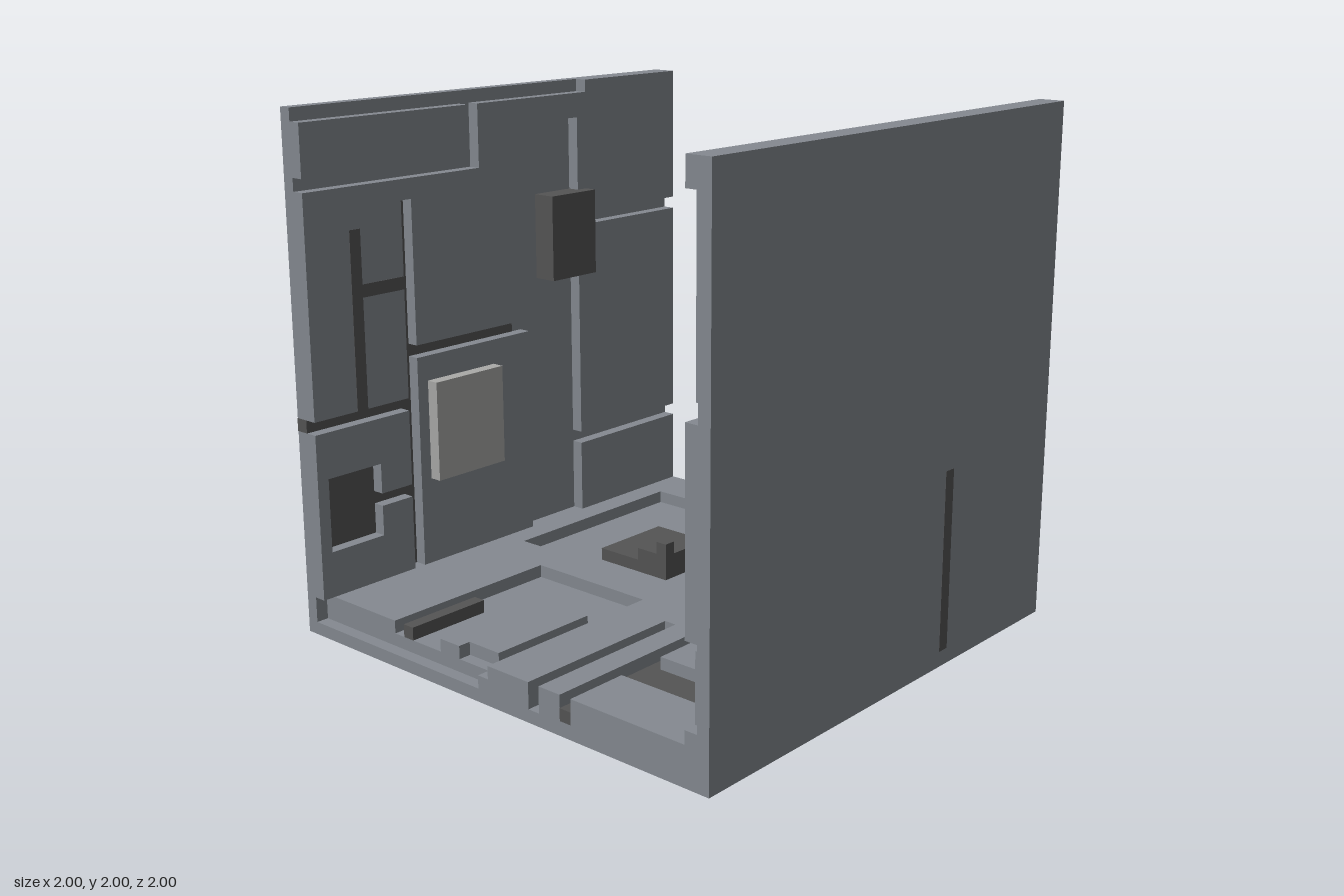
import * as THREE from 'three';
import { mergeGeometries } from 'three/addons/utils/BufferGeometryUtils.js';

const hull = new THREE.MeshStandardMaterial({ color: 0x858a91 });
hull.name = 'hull grey';
const dark = new THREE.MeshStandardMaterial({ color: 0x555555 });
dark.name = 'dark grey';
const pale = new THREE.MeshStandardMaterial({ color: 0xaaaaa8 });
pale.name = 'pale grey';

// Box from its limits
function block(x0, x1, y0, y1, z0, z1) {
  return new THREE.BoxGeometry(x1 - x0, y1 - y0, z1 - z0)
    .translate((x0 + x1) / 2, (y0 + y1) / 2, (z0 + z1) / 2);
}

// Plate over a rectangle with rectangular cuts, split into strips of boxes
function carve([u0, u1, v0, v1], cuts, place) {
  const ticks = (a, b, i) => [...new Set([a, b, ...cuts.flatMap((c) => [c[i], c[i + 1]])])]
    .filter((t) => t >= a && t <= b).sort((p, q) => p - q);
  const us = ticks(u0, u1, 0), vs = ticks(v0, v1, 2), parts = [];
  for (let j = 0; j < vs.length - 1; j++) {
    const v = (vs[j] + vs[j + 1]) / 2;
    let start = null;
    for (let i = 0; i < us.length; i++) {
      const u = (us[i] + us[i + 1]) / 2;
      const solid = i < us.length - 1
        && !cuts.some((c) => u > c[0] && u < c[1] && v > c[2] && v < c[3]);
      if (solid && start === null) start = us[i];
      if (!solid && start !== null) {
        parts.push(block(...place(start, us[i], vs[j], vs[j + 1])));
        start = null;
      }
    }
  }
  return parts;
}

export function createModel() {
  const group = new THREE.Group();
  const add = (name, material, geometries) => {
    const mesh = new THREE.Mesh(mergeGeometries(geometries), material);
    mesh.name = name;
    group.add(mesh);
  };
  const boxes = (name, material, list) => add(name, material, list.map((b) => block(...b)));

  // Floor: solid base, deep cuts and shallow cuts, each as x0, x1, z0, z1
  const deep = [[-0.9, -0.05, 0.95, 1], [0.2, 0.25, 0.3, 1]];
  const shallow = [
    ...deep,
    [-0.8, 0.05, -0.8, 0.05],
    [-0.55, -0.3, 0.2, 0.95], [-0.3, 0, 0.2, 0.45], [-0.05, 0, 0.45, 1], [-0.2, -0.05, 0.9, 0.95],
    [0.35, 0.4, -0.55, 1],
    [0.4, 0.9, -0.15, -0.05], [0.4, 0.9, 0.55, 0.75],
    [0.5, 0.9, -0.35, -0.3],
  ];
  const plan = [-0.9, 0.9, -1, 1];
  add('floor', hull, [
    block(-0.9, 0.9, 0, 0.05, -1, 1),
    ...carve(plan, deep, (a, b, c, d) => [a, b, 0.05, 0.1, c, d]),
    ...carve(plan, shallow, (a, b, c, d) => [a, b, 0.1, 0.15, c, d]),
  ]);

  // Walls: outer skin and carved inner skin, cuts as z0, z1, y0, y1
  const side = [-1, 1, 0, 2];
  const rightCuts = [
    [-0.45, 1, 1.95, 2], [0.15, 0.2, 1.7, 1.95], [0.2, 1, 1.7, 1.75],
    [-0.4, -0.1, 0.15, 1.85],
    [-1, -0.4, 1.4, 1.45], [-1, -0.4, 0.45, 0.5],
    [0.5, 0.55, 0.15, 1.62], [-0.1, 0.5, 1, 1.05], [0.55, 1, 0.8, 0.85],
    [0.7, 0.95, 0.33, 0.62], [0.55, 0.7, 0.45, 0.5],
    [0.95, 1, 0.05, 0.15],
  ];
  const leftCuts = [
    [-0.5, 0.15, 0.8, 1.65],
    [0.5, 1, 1.2, 1.25], [0.5, 0.55, 0.45, 1.2], [0.55, 1, 0.45, 0.5],
    [0.95, 1, 1.25, 1.9], [0.95, 1, 0.2, 0.45],
    [-0.35, -0.3, 0.1, 0.75],
  ];
  add('rightWall', hull, [
    block(-1, -0.95, 0, 2, -1, 1),
    ...carve(side, rightCuts, (a, b, c, d) => [-0.95, -0.9, c, d, a, b]),
  ]);
  add('leftWall', hull, [
    block(0.95, 1, 0, 2, -1, 1),
    ...carve(side, leftCuts, (a, b, c, d) => [0.9, 0.95, c, d, a, b]),
  ]);

  // Dark conduits lying flush in the channels
  boxes('floorConduits', dark, [
    [0.35, 0.4, 0.055, 0.102, -0.55, 1.001],
    [0.4, 0.9, 0.06, 0.102, -0.15, -0.05],
    [0.4, 0.85, 0.06, 0.102, 0.55, 0.75],
    [0.55, 0.9, 0.06, 0.102, -0.35, -0.3],
  ]);
  boxes('leftWallConduit', dark, [[0.948, 1.001, 0.06, 0.75, -0.35, -0.3]]);
  const wallRun = (y0, y1, z0, z1) => [-1.001, -0.948, y0, y1, z0, z1];
  boxes('rightWallConduits', dark, [
    wallRun(0.15, 1.62, 0.5, 0.55),
    wallRun(1, 1.05, -0.05, 0.5),
    wallRun(0.8, 0.85, 0.55, 1.001),
    wallRun(0.33, 0.62, 0.7, 0.95),
    wallRun(0.45, 0.5, 0.55, 0.7),
  ]);
  boxes('rightWallInlay', dark, [
    [-0.903, -0.898, 0.85, 1.54, 0.75, 0.8],
    [-0.903, -0.898, 1.28, 1.33, 0.55, 0.75],
  ]);

  // Stepped unit in the floor pit and the bar beside the front hatch
  boxes('floorUnit', dark, [
    [-0.5, -0.15, 0.1, 0.15, -0.45, -0.1],
    [-0.3, -0.15, 0.15, 0.2, -0.3, -0.1],
    [-0.2, -0.15, 0.2, 0.25, -0.15, -0.1],
  ]);
  boxes('floorBar', dark, [[-0.5, -0.45, 0.1, 0.15, 0.6, 0.95]]);

  // Boxes mounted on the walls
  boxes('rightWallDarkBox', dark, [[-0.9, -0.85, 1.2, 1.55, -0.45, -0.2], [-0.95, -0.9, 1.2, 1.55, -0.4, -0.2]]);
  boxes('rightWallPaleBox', pale, [[-0.9, -0.85, 0.5, 0.9, 0.1, 0.45]]);
  boxes('leftWallUpperBox', dark, [[0.85, 0.9, 1.55, 1.95, 0.2, 0.4]]);
  boxes('leftWallPaleBox', pale, [[0.85, 0.9, 1.55, 1.8, 0.45, 0.55]]);
  boxes('leftWallPitBox', dark, [[0.899, 0.95, 0.85, 1.2, -0.45, -0.2]]);
  boxes('leftWallSwitch', dark, [
    [0.85, 0.9, 0.6, 1.15, -0.85, -0.65],
    [0.8, 0.85, 0.8, 0.95, -0.85, -0.7],
    [0.75, 0.8, 0.85, 0.9, -0.8, -0.75],
  ]);

  return group;
}
